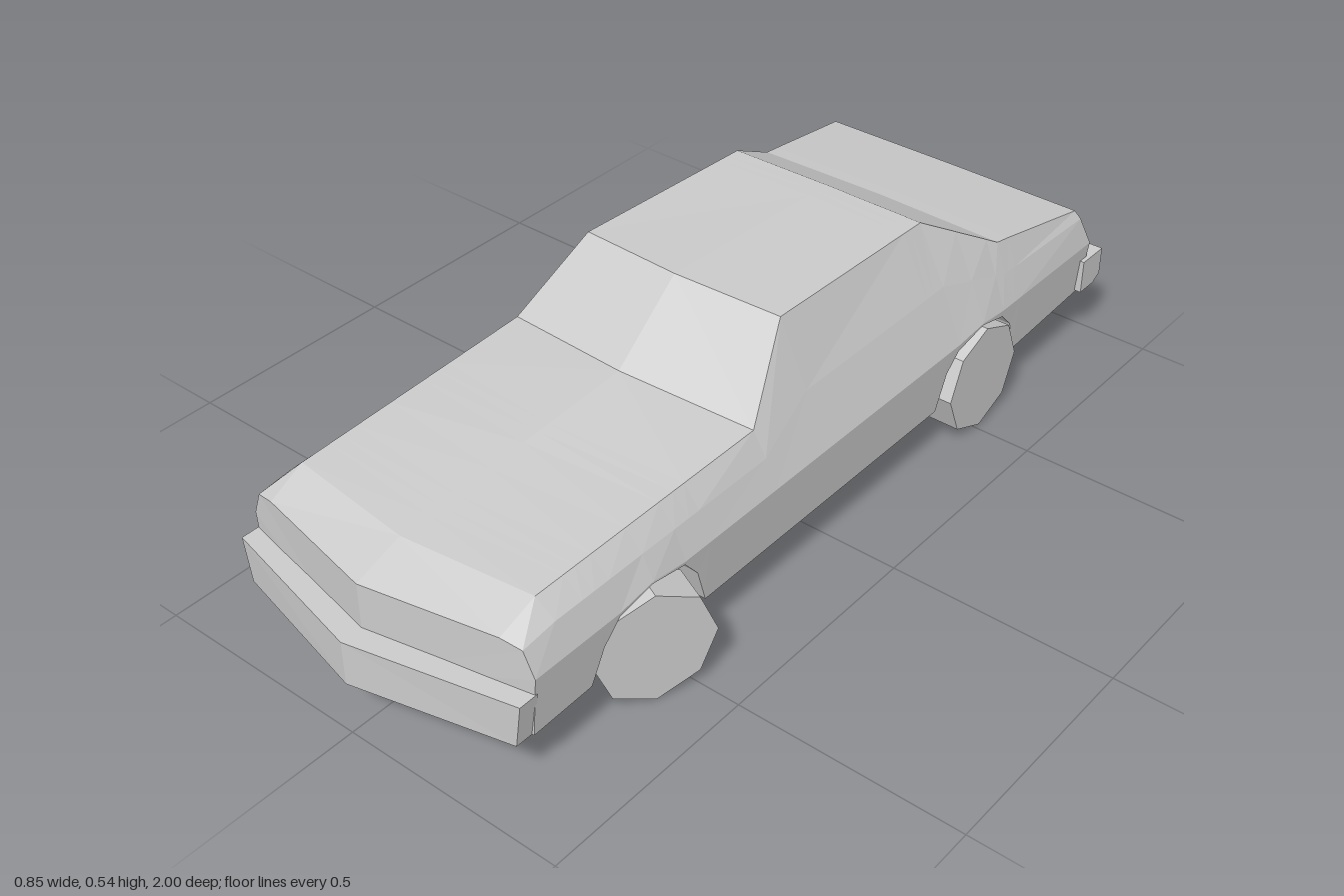
import * as THREE from 'three';

const material = new THREE.MeshStandardMaterial({ color: 0xcccccc, flatShading: true, side: THREE.DoubleSide });

// Linear interpolation in a table whose rows start with z, front to rear
function sample(table, z) {
  let i = 0;
  while (i < table.length - 2 && z < table[i + 1][0]) i++;
  const a = table[i], b = table[i + 1];
  const t = (a[0] - z) / (a[0] - b[0]);
  return a.slice(1).map((v, k) => v + (b[k + 1] - v) * t);
}

// Upper edge: z, edge x, edge y, centre y, forward bow of the centre
const UPPER = [
  [0.88, 0.29, 0.322, 0.322, 0.07],
  [0.8, 0.295, 0.36, 0.36, 0.04],
  [0.21, 0.305, 0.376, 0.396, 0.04],
  [0.05, 0.245, 0.527, 0.536, 0.03],
  [-0.42, 0.24, 0.51, 0.512, 0],
  [-0.62, 0.31, 0.395, 0.4, 0],
  [-0.95, 0.33, 0.345, 0.347, 0],
];
// Fender crease: z, x, y
const FENDER = [
  [0.88, 0.335, 0.312], [0.8, 0.335, 0.322], [0.21, 0.333, 0.32], [0.05, 0.308, 0.38],
  [-0.42, 0.307, 0.38], [-0.62, 0.335, 0.325], [-0.95, 0.342, 0.325],
];
// Underside with the wheel arches: z, y
const UNDER = [
  [0.88, 0.12], [0.73, 0.125], [0.7, 0.2], [0.66, 0.248], [0.57, 0.265], [0.48, 0.248], [0.44, 0.2],
  [0.41, 0.113], [-0.36, 0.113], [-0.385, 0.2], [-0.42, 0.24], [-0.51, 0.26], [-0.59, 0.24],
  [-0.63, 0.2], [-0.66, 0.115], [-0.95, 0.135],
];

// One closed cross-section of the body, anticlockwise seen from the front
function section(z) {
  const [tx, ty, cy, bow] = sample(UPPER, z);
  const [fx, fy] = sample(FENDER, z);
  const [by] = sample(UNDER, z);
  const wy = Math.max(0.256, by + 0.004);
  const bx = 0.347 + 0.011 * (by - 0.11) / 0.15;
  const isNose = z > 0.87, isTail = z < -0.94;
  const place = (x, y, bend = bow) => {
    let pz = z + bend * Math.max(0, 1 - Math.abs(x) / 0.35);
    if (isTail) pz += y > wy ? 0.035 * (y - wy) / (ty - wy) : 0.015 * (wy - y) / 0.12;
    return new THREE.Vector3(x, y, pz);
  };
  const half = [[bx, by, isNose ? bow : 0], [0.358, wy], [fx, fy], [tx, ty]];
  return [
    place(0, by, isNose ? bow : 0),
    ...half.map(([x, y, b]) => place(x, y, b)),
    place(0, cy),
    ...half.reverse().map(([x, y, b]) => place(-x, y, b)),
  ];
}

function bodyGeometry() {
  const stations = [...new Set([...UPPER, ...UNDER].map((row) => row[0]))].sort((a, b) => b - a);
  const rings = stations.map(section);
  const n = rings[0].length;
  const points = [];
  for (let i = 0; i < rings.length - 1; i++) {
    for (let j = 0; j < n; j++) {
      const k = (j + 1) % n;
      const a = rings[i][j], b = rings[i][k], c = rings[i + 1][k], d = rings[i + 1][j];
      // mirrored diagonals keep both sides alike
      if (j < n / 2) points.push(a, d, c, a, c, b);
      else points.push(a, d, b, b, d, c);
    }
  }
  // Nose and tail panels
  const nose = rings[0], tail = rings[rings.length - 1];
  for (let j = 1; j < n - 1; j++) {
    points.push(nose[0], nose[j], nose[j + 1], tail[0], tail[j + 1], tail[j]);
  }
  const geometry = new THREE.BufferGeometry().setFromPoints(points);
  geometry.computeVertexNormals();
  return geometry;
}

function extrude(points, depth) {
  const shape = new THREE.Shape(points.map(([x, y]) => new THREE.Vector2(x, y)));
  return new THREE.ExtrudeGeometry(shape, { depth, bevelEnabled: false });
}

// V-shaped bumper, slightly narrower at the bottom
function frontBumperGeometry() {
  const plan = [[-0.357, 0.875], [0, 0.94], [0.357, 0.875], [0.357, 0.92], [0, 1], [-0.357, 0.92]];
  const geometry = extrude(plan, 0.1).rotateX(Math.PI / 2).translate(0, 0.22, 0);
  const p = geometry.attributes.position;
  for (let i = 0; i < p.count; i++) if (p.getY(i) < 0.17) p.setX(i, p.getX(i) * 0.96);
  geometry.computeVertexNormals();
  return geometry;
}

// Straight bumper with a chamfered lower edge
function rearBumperGeometry() {
  const profile = [[0.92, 0.14], [0.975, 0.14], [1, 0.155], [1, 0.22], [0.92, 0.22]];
  return extrude(profile, 0.73).rotateY(Math.PI / 2).translate(-0.365, 0, 0);
}

export function createModel() {
  const car = new THREE.Group();
  car.name = 'car';
  const add = (name, geometry) => {
    const mesh = new THREE.Mesh(geometry, material);
    mesh.name = name;
    car.add(mesh);
    return mesh;
  };

  add('body', bodyGeometry());
  add('frontBumper', frontBumperGeometry());
  add('rearBumper', rearBumperGeometry());

  // Eight-sided wheels, the front pair steered to the right
  const wheel = new THREE.CylinderGeometry(0.126, 0.126, 0.085, 8).rotateZ(Math.PI / 2);
  for (const [side, sign] of [['Left', 1], ['Right', -1]]) {
    const front = add('front' + side + 'Wheel', wheel);
    front.position.set(sign * 0.335, 0.126, 0.565);
    front.rotation.y = THREE.MathUtils.degToRad(-25);
    add('rear' + side + 'Wheel', wheel).position.set(sign * 0.324, 0.126, -0.515);
  }
  return car;
}
